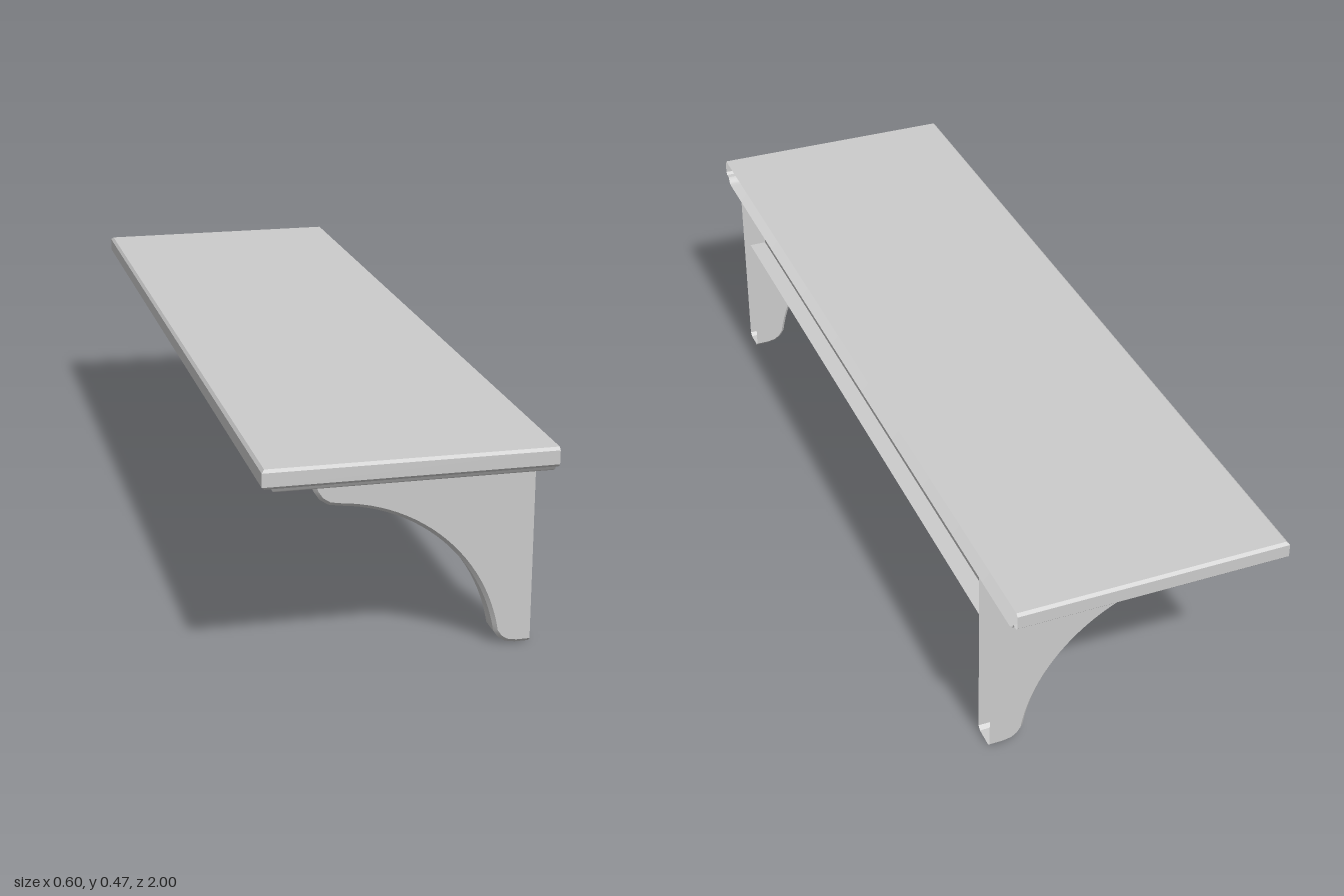
import * as THREE from 'three';
import { toCreasedNormals } from 'three/addons/utils/BufferGeometryUtils.js';

const material = new THREE.MeshStandardMaterial({ color: 0xcccccc, side: THREE.DoubleSide });
const WALL = 0.3; // wall plane, where every part is left open
const UNDER = 0.417; // underside of the shelf

// Skin between open loops of points; `flat` maps a point to 2D for the end caps.
function loft(name, loops, flat, capEnd = true) {
  const n = loops[0].length;
  const index = [];
  for (let j = 0; j < loops.length - 1; j++) {
    for (let i = 0; i < n - 1; i++) {
      const a = j * n + i, b = a + 1, c = b + n, d = a + n;
      index.push(a, b, c, a, c, d);
    }
  }
  const cap = (j, flip) => {
    const faces = THREE.ShapeUtils.triangulateShape(loops[j].map(flat), []);
    for (const [a, b, c] of faces) {
      const f = flip ? [a, c, b] : [a, b, c];
      index.push(...f.map((k) => k + j * n));
    }
  };
  cap(0, true);
  if (capEnd) cap(loops.length - 1, false);
  const geometry = new THREE.BufferGeometry().setFromPoints(loops.flat());
  geometry.setIndex(index);
  const mesh = new THREE.Mesh(toCreasedNormals(geometry, 0.6), material);
  mesh.name = name;
  return mesh;
}

// Three-sided loop at height y, open towards the wall
const tray = (front, halfLength, y) => [
  [WALL, -halfLength], [front, -halfLength], [front, halfLength], [WALL, halfLength],
].map(([x, z]) => new THREE.Vector3(x, y, z));
const flatXZ = (p) => new THREE.Vector2(p.z, p.x);

// Moulded board: [inset, height] from the underside to the top
function createShelf() {
  const profile = [
    [0.037, UNDER], [0.031, 0.418], [0.026, 0.422], [0.023, 0.428], [0.02, 0.434],
    [0.006, 0.434], [0, 0.44], [0, 0.469], [0.006, 0.475],
  ];
  return loft('shelfBoard', profile.map(([d, y]) => tray(-0.3 + d, 1 - d, y)), flatXZ);
}

// Hollow rail between the brackets
function createRail() {
  return loft('wallRail', [tray(0.26, 0.803, 0.32), tray(0.26, 0.803, UNDER)], flatXZ, false);
}

// Bracket with a swept lower edge and a narrow bevel along it
function createBracket(name) {
  const edge = [
    [-0.17, UNDER], [-0.17, 0.395], [-0.164, 0.37], [-0.152, 0.352], [-0.134, 0.34],
  ].map(([x, y]) => new THREE.Vector2(x, y));
  for (let i = 0; i <= 24; i++) {
    const t = THREE.MathUtils.degToRad(THREE.MathUtils.lerp(85.3, 9.4, i / 24));
    edge.push(new THREE.Vector2(-0.14 + 0.367 * Math.cos(t), -0.03 + 0.367 * Math.sin(t)));
  }
  for (const [x, y] of [[0.233, 0.014], [0.248, 0.004], [0.27, 0], [WALL, 0]]) {
    edge.push(new THREE.Vector2(x, y));
  }

  const loopAt = (z, inset) => {
    const loop = edge.map((p, i) => {
      const a = edge[Math.max(i - 1, 0)], b = edge[Math.min(i + 1, edge.length - 1)];
      const t = b.clone().sub(a).normalize();
      return new THREE.Vector3(p.x - t.y * inset, p.y + t.x * inset, z);
    });
    loop[0].y = UNDER;
    loop[loop.length - 1].x = WALL;
    return loop;
  };
  const half = 0.031, bevel = 0.008;
  const loops = [
    loopAt(-half, bevel), loopAt(-half + bevel, 0), loopAt(half - bevel, 0), loopAt(half, bevel),
  ];
  // Side panels also reach the inner top corner; the strip to it is flush and is removed
  const corner = (z) => new THREE.Vector3(WALL, UNDER, z);
  const mesh = loft(name, loops, (p) => new THREE.Vector2(p.x, p.y));
  mesh.geometry = bracketGeometry(loops, corner);
  return mesh;
}

// Edge strips plus two side panels, leaving the top and wall side open
function bracketGeometry(loops, corner) {
  const points = [];
  for (let j = 0; j < loops.length - 1; j++) {
    for (let i = 0; i < loops[j].length - 1; i++) {
      const a = loops[j][i], b = loops[j][i + 1], c = loops[j + 1][i + 1], d = loops[j + 1][i];
      points.push(a, b, c, a, c, d);
    }
  }
  for (const [loop, flip] of [[loops[0], true], [loops[loops.length - 1], false]]) {
    const panel = [...loop, corner(loop[0].z)];
    const outline = panel.map((p) => new THREE.Vector2(p.x, p.y));
    for (const [a, b, c] of THREE.ShapeUtils.triangulateShape(outline, [])) {
      points.push(...(flip ? [a, c, b] : [a, b, c]).map((k) => panel[k]));
    }
  }
  return toCreasedNormals(new THREE.BufferGeometry().setFromPoints(points), 0.6);
}

export function createModel() {
  const model = new THREE.Group();
  model.name = 'wallShelf';
  model.add(createShelf(), createRail());
  for (const [name, side] of [['leftBracket', 1], ['rightBracket', -1]]) {
    const bracket = createBracket(name);
    bracket.position.z = side * 0.834;
    model.add(bracket);
  }
  return model;
}
